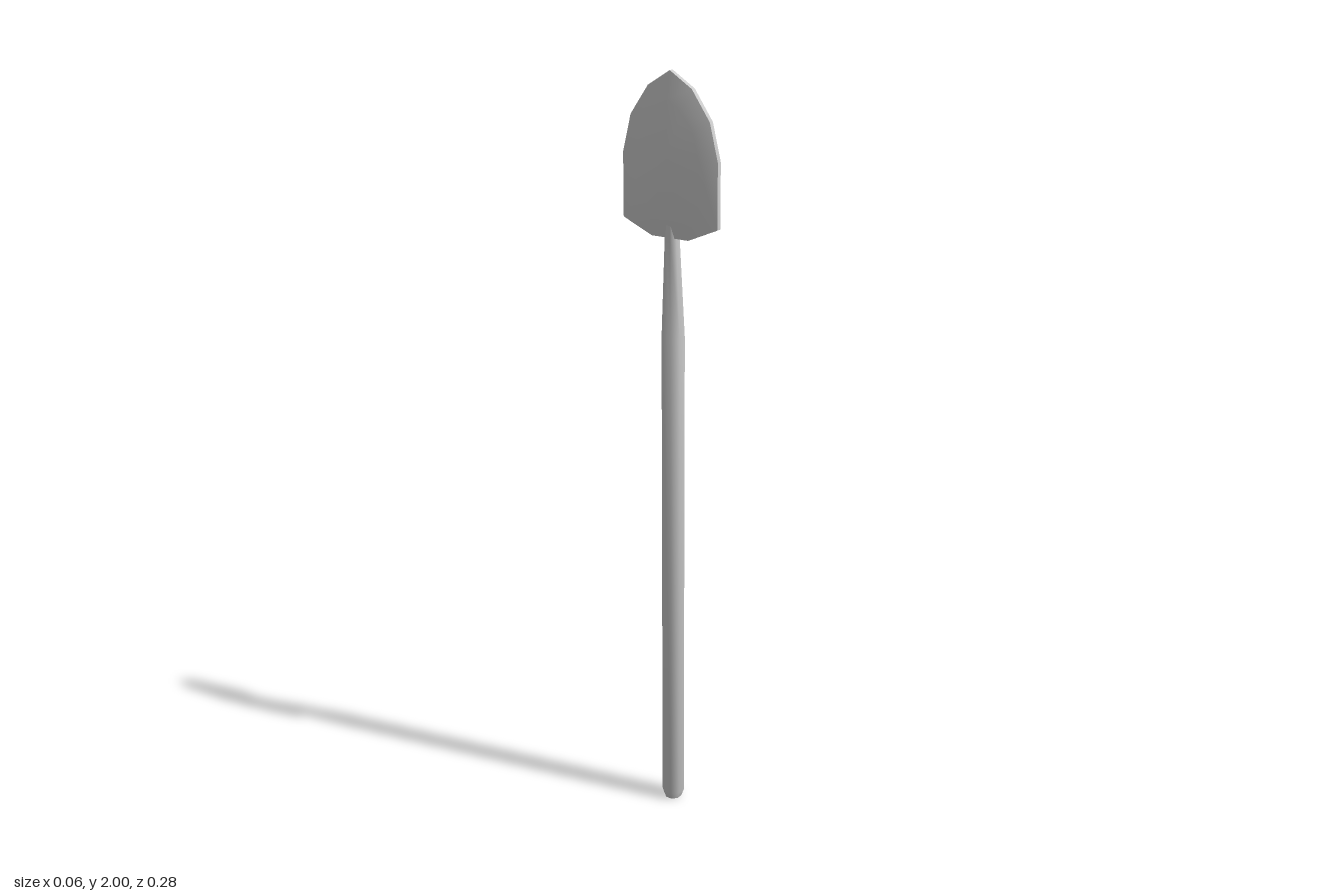
import * as THREE from 'three';
import { toCreasedNormals } from 'three/addons/utils/BufferGeometryUtils.js';

const CREASE = Math.PI / 3;

// Eight-sided pole with a bevelled butt, tapering into a spike that leans onto the blade
function poleGeometry() {
  const k = 1 / Math.cos(Math.PI / 8); // flat width to corner radius
  const profile = [[0, 0], [0.021, 0], [0.028, 0.02], [0.028, 1.33], [0.018, 1.58], [0.006, 1.81], [0, 1.81]]
    .map(([r, y]) => new THREE.Vector2(r * k, y));
  const geo = new THREE.LatheGeometry(profile, 8, Math.PI / 8);
  const pos = geo.attributes.position;
  for (let i = 0; i < pos.count; i++) {
    const lean = Math.max(0, (pos.getY(i) - 1.33) / 0.48);
    pos.setX(i, pos.getX(i) - 0.008 * lean);
  }
  return toCreasedNormals(geo, CREASE);
}

// Dished blade: rings of the outline, scaled about its middle, from the back to the hollow front
function bladeGeometry() {
  const midY = 1.8;
  const half = [[0.055, 1.588], [0.142, 1.625], [0.142, 1.79], [0.118, 1.885], [0.065, 1.96]];
  const outline = [...half, [0, 2], ...half.map(([z, y]) => [-z, y]).reverse()];
  const rings = [[0, -0.028], [0.66, -0.028], [1, -0.015], [1, -0.002], [0.66, -0.015], [0, -0.015]];
  const n = outline.length;
  const positions = [];
  const index = [];
  for (const [s, x] of rings) {
    for (const [u, y] of outline) positions.push(x, midY + (y - midY) * s, -u * s);
  }
  for (let i = 0; i < rings.length - 1; i++) {
    for (let j = 0; j < n; j++) {
      const a = i * n + j, b = i * n + (j + 1) % n;
      if (rings[i][0] > 0) index.push(a, b, b + n);
      if (rings[i + 1][0] > 0) index.push(a, b + n, a + n);
    }
  }
  const geo = new THREE.BufferGeometry();
  geo.setAttribute('position', new THREE.Float32BufferAttribute(positions, 3));
  geo.setIndex(index);
  return toCreasedNormals(geo, CREASE);
}

export function createModel() {
  const group = new THREE.Group();
  group.name = 'shovel';
  const material = new THREE.MeshStandardMaterial({ color: 0xcccccc });
  const parts = { handle: poleGeometry(), blade: bladeGeometry() };
  for (const [name, geometry] of Object.entries(parts)) {
    const mesh = new THREE.Mesh(geometry, material);
    mesh.name = name;
    group.add(mesh);
  }
  return group;
}
